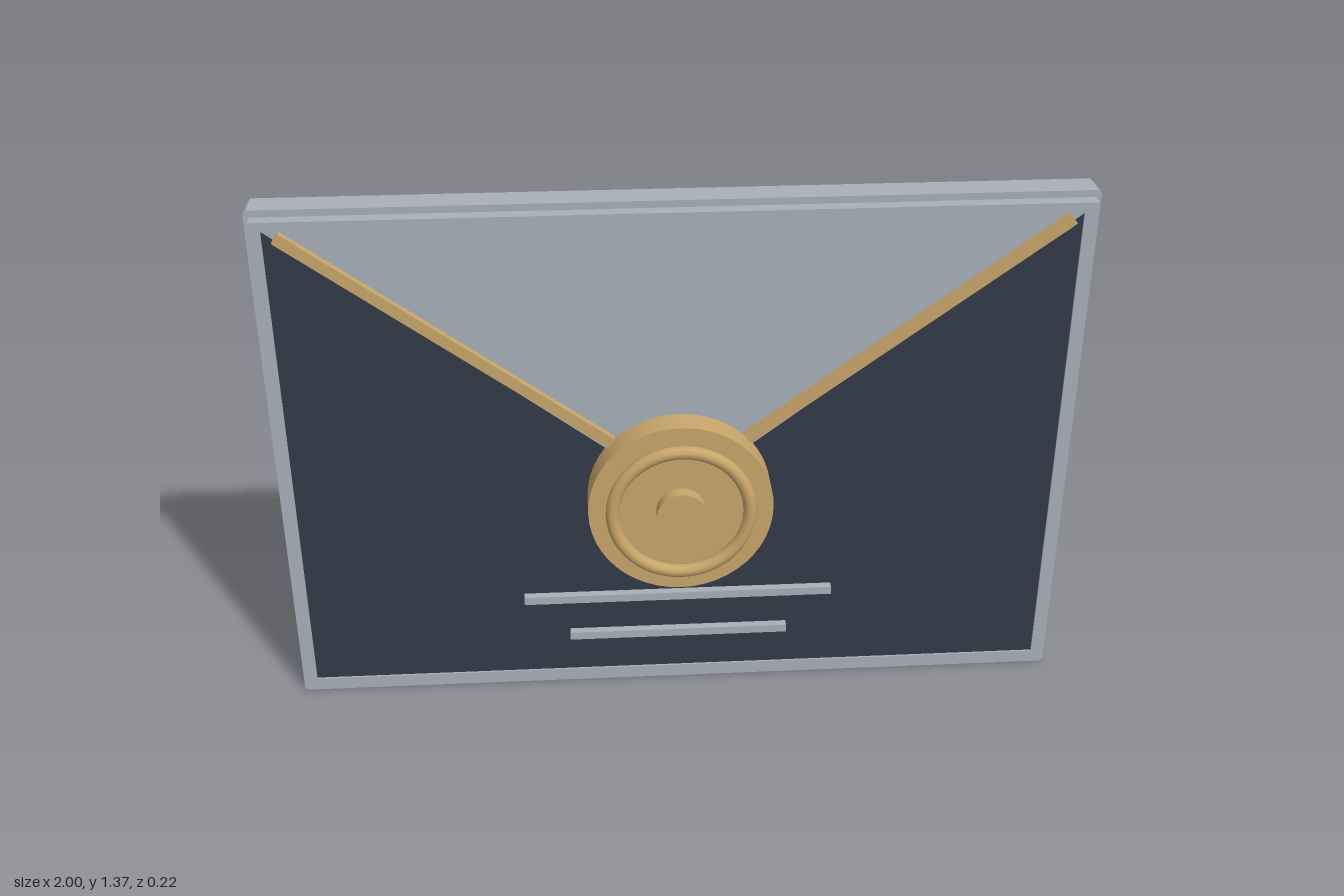
import * as THREE from 'three';

const mat = (name, color) => {
  const m = new THREE.MeshStandardMaterial({ color });
  m.name = name;
  return m;
};

export function createModel() {
  const silver = mat('silver', 0xa8b0b8);
  const navy = mat('dark slate', 0x343b48);
  const gold = mat('gold', 0xc9a66b);
  const group = new THREE.Group();

  const add = (name, geometry, material, x = 0, y = 0, z = 0) => {
    const mesh = new THREE.Mesh(geometry, material);
    mesh.name = name;
    mesh.position.set(x, y, z);
    group.add(mesh);
    return mesh;
  };
  const polygon = (Type, pts) => new Type(pts.map(([x, y]) => new THREE.Vector2(x, y)));
  const extrude = (shape, depth) =>
    new THREE.ExtrudeGeometry(shape, { depth, bevelEnabled: false });

  // Rectangular rim with slightly clipped corners around the body
  const H = 1.365, c = 0.008;
  const rim = polygon(THREE.Shape, [
    [-1 + c, 0], [1 - c, 0], [1, c], [1, H - c], [1 - c, H], [-1 + c, H], [-1, H - c], [-1, c],
  ]);
  rim.holes.push(polygon(THREE.Path, [
    [-0.965, 0.035], [-0.965, H - 0.035], [0.965, H - 0.035], [0.965, 0.035],
  ]));
  add('rim', extrude(rim, 0.077), silver, 0, 0, -0.111);

  // Body panel, just inside the rim's faces
  add('bodyPanel', new THREE.BoxGeometry(1.93, H - 0.07, 0.067), navy, 0, H / 2, -0.0725);

  // Triangular flap
  const flap = polygon(THREE.Shape, [[-0.985, 1.35], [0, 0.595], [0.985, 1.35]]);
  add('flap', extrude(flap, 0.034), silver, 0, 0, -0.028);

  // Trim bars along the flap edges
  const dx = 0.757, dy = 0.56;
  for (const s of [1, -1]) {
    const bar = add(s > 0 ? 'leftTrim' : 'rightTrim',
      new THREE.BoxGeometry(Math.hypot(dx, dy), 0.028, 0.026), gold, s * 0.546, 1.037, 0.012);
    bar.rotation.z = s * Math.atan2(dy, dx);
  }

  // Round seal: disc, raised ring and centre button
  const disc = (name, radius, z0, z1, sides) => {
    const g = new THREE.CylinderGeometry(radius, radius, z1 - z0, sides).rotateX(Math.PI / 2);
    add(name, g, gold, 0, 0.593, (z0 + z1) / 2);
  };
  disc('sealDisc', 0.231, 0, 0.079, 48);
  add('sealRing', new THREE.TorusGeometry(0.171, 0.017, 10, 48), gold, 0, 0.593, 0.092);
  disc('sealButton', 0.062, 0.075, 0.113, 32);

  // Raised address lines
  for (const [name, width, y] of [['upperLine', 0.806, 0.269], ['lowerLine', 0.574, 0.153]]) {
    add(name, new THREE.BoxGeometry(width, 0.022, 0.03), silver, 0, y, -0.033);
  }
  return group;
}
